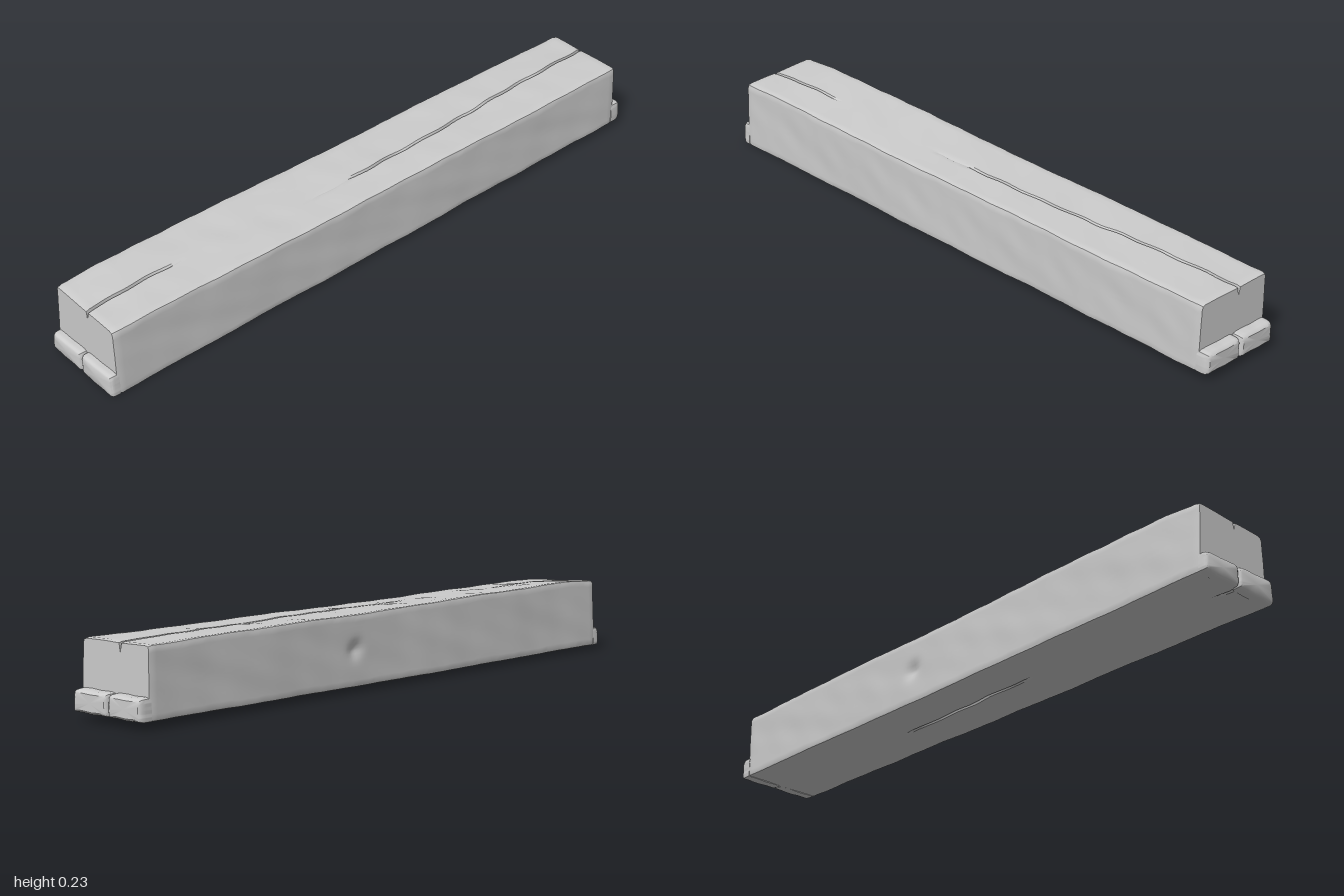
import * as THREE from 'three';
import { toCreasedNormals } from 'three/addons/utils/BufferGeometryUtils.js';

const lerp = THREE.MathUtils.lerp, smooth = THREE.MathUtils.smoothstep;
const V = (z, y) => new THREE.Vector2(z, y);

// Value along x read from a few [x, value] pairs
function along(x, pairs) {
  for (let i = 1; i < pairs.length; i++) {
    const [x0, a] = pairs[i - 1], [x1, b] = pairs[i];
    if (x <= x1) return lerp(a, b, THREE.MathUtils.clamp((x - x0) / (x1 - x0), 0, 1));
  }
  return pairs[pairs.length - 1][1];
}

// Soft, repeatable hewn-wood unevenness
const wave = (x, s) => 0.5 * Math.sin(7 * x + s * 2.1) + 0.3 * Math.sin(17 * x + s * 5.3) + 0.2 * Math.sin(41 * x + s * 3.7);

// Four slightly twisted corners: front bottom, front top, back top, back bottom
function corners(x) {
  const t = (x + 1) / 2, n = s => 0.0022 * wave(x, s);
  return [
    V(lerp(0.125, 0.138, t) + n(1), along(x, [[-1, 0.005], [-0.4, 0.011], [0.2, 0.017], [1, 0.028]])),
    V(lerp(0.12, 0.133, t) + n(2), along(x, [[-1, 0.217], [0, 0.219], [1, 0.227]]) + n(3)),
    V(lerp(-0.134, -0.126, t) + n(4), along(x, [[-1, 0.23], [-0.82, 0.24], [-0.6, 0.237], [0, 0.233], [1, 0.231]]) + n(5)),
    V(lerp(-0.143, -0.126, t) + n(6), along(x, [[-1, 0.02], [0, 0.021], [1, 0.027]])),
  ];
}

// Splits that run along the top and bottom: position, depth
const topCrack = x => ({
  z: along(x, [[-1, 0.005], [-0.7, 0.0], [-0.2, 0.022], [0.3, 0.014], [0.6, -0.004], [1, -0.016]]) + 0.002 * Math.sin(43 * x),
  depth: 0.025 * smooth(-x, 0.6, 0.95) + smooth(x, -0.25, 0.1) * (0.01 + 0.006 * Math.sin(23 * x)) + 0.026 * smooth(x, 0.7, 0.97),
});
const bottomCrack = x => ({
  z: 0.01 * Math.sin(2.5 * x) + 0.002 * Math.sin(37 * x),
  depth: 0.012 * Math.max(0, Math.sin(5 * x + 1.2)),
});

// Rounded cross-section through four corners; cracks[side] opens a V in a side
function section(x, c, radius, cracks = {}) {
  const pts = [], N = 7;
  for (let s = 0; s < 4; s++) {
    const p = c[s], q = c[(s + 1) % 4], next = c[(s + 2) % 4];
    const dir = q.clone().sub(p).normalize(), inward = V(-dir.y, dir.x);
    const r0 = radius(x, s), r1 = radius(x, (s + 1) % 4);
    const a = p.clone().addScaledVector(dir, r0), b = q.clone().addScaledVector(dir, -r1);
    // Turn inward towards the middle of the section
    if (inward.dot(next.clone().sub(q)) < 0) inward.negate();
    const crack = cracks[s] && cracks[s](x);
    const m = crack ? (crack.z - a.x) / (b.x - a.x) : 0.5, w = crack ? 0.005 / a.distanceTo(b) : 0.04;
    const steps = [];
    for (let k = 0; k <= N; k++) steps.push([(m - w) * k / N, 0]);
    steps.push([m, crack ? crack.depth : 0]);
    for (let k = 0; k <= N; k++) steps.push([lerp(m + w, 1, k / N), 0]);
    for (const [f, depth] of steps) {
      const pt = a.clone().lerp(b, f);
      let dent = depth + 0.0018 * Math.sin(Math.PI * f) * wave(x * 1.3, s + f * 2);
      // Knot hollow in the back
      if (s === 2) dent += 0.011 * Math.exp(-(((x - 0.17) / 0.025) ** 2) - ((pt.y - 0.13) / 0.022) ** 2);
      pts.push(pt.addScaledVector(inward, dent));
    }
    const e = q.clone().addScaledVector(next.clone().sub(q).normalize(), r1);
    pts.push(b.clone().add(e).addScaledVector(q, 2).multiplyScalar(0.25));
  }
  return pts;
}

// Skin the rings [{x, pts}] from -x to +x and close both ends
function loft(rings, name, material) {
  const pos = [], idx = [], n = rings[0].pts.length;
  for (const { x, pts } of rings) for (const p of pts) pos.push(x, p.y, p.x);
  for (let i = 0; i < rings.length - 1; i++) for (let j = 0; j < n; j++) {
    const k = (j + 1) % n, a = i * n + j, b = a + n, c = (i + 1) * n + k, d = i * n + k;
    idx.push(a, b, c, a, c, d);
  }
  for (const i of [0, rings.length - 1]) {
    const mid = pos.length / 3, { x, pts } = rings[i];
    const m = pts.reduce((t, p) => t.add(p), V(0, 0)).divideScalar(n);
    pos.push(x, m.y, m.x);
    for (let j = 0; j < n; j++) {
      const a = i * n + j, b = i * n + (j + 1) % n;
      if (i === 0) idx.push(mid, a, b); else idx.push(mid, b, a);
    }
  }
  const g = new THREE.BufferGeometry();
  g.setAttribute('position', new THREE.Float32BufferAttribute(pos, 3));
  g.setIndex(idx);
  const mesh = new THREE.Mesh(toCreasedNormals(g, 0.6), material);
  mesh.name = name;
  return mesh;
}

function shrink(pts, amount) {
  const box = new THREE.Box2().setFromPoints(pts), m = box.getCenter(V(0, 0)), s = box.getSize(V(0, 0));
  return pts.map(p => V(m.x + (p.x - m.x) * (1 - 2 * amount / s.x), m.y + (p.y - m.y) * (1 - 2 * amount / s.y)));
}

export function createModel() {
  const group = new THREE.Group();
  group.name = 'timberBeam';
  const wood = new THREE.MeshStandardMaterial({ color: 0xcccccc });

  // Worn, chipped long edges, most ragged along the front top
  const wornEdge = (x, s) => [0.006, 0.009, 0.008, 0.009][s] + (s === 1 ? 0.005 : 0.003) * wave(x * 2.3, s + 4);
  const x0 = -0.975, x1 = 0.965, count = 150, rings = [];
  for (let i = 0; i <= count; i++) {
    const x = lerp(x0, x1, i / count);
    const pts = section(x, corners(x), wornEdge, { 1: topCrack, 3: bottomCrack });
    const end = i === 0 || i === count;
    rings.push({ x, pts: end ? shrink(pts, 0.003) : pts });
  }
  group.add(loft(rings, 'beam', wood));

  // Stepped tongue at each end, split into a front and a back lobe
  for (const side of [-1, 1]) {
    const inner = side < 0 ? x0 : x1, ledge = side < 0 ? 0.076 : 0.092;
    for (const [name, f0, f1] of [['frontTongue', 0, 0.505], ['backTongue', 0.515, 1]]) {
      const lobe = [[-0.006, 0], [0.4, 0], [0.7, 0.001], [0.9, 0.004], [1, 0.009]].map(([t, inset], k) => {
        const x = k === 0 ? inner - side * 0.006 : lerp(inner, side, t);
        const [a, b, c, d] = corners(x);
        const front = a.clone().lerp(b, (ledge - a.y) / (b.y - a.y));
        const back = d.clone().lerp(c, (ledge - d.y) / (c.y - d.y));
        const quad = [a.clone().lerp(d, f0), front.clone().lerp(back, f0), front.clone().lerp(back, f1), a.clone().lerp(d, f1)];
        const round = (_, s) => (s === 1 || s === 2 ? 0.012 : 0.006);
        return { x, pts: shrink(section(x, quad, round), inset) };
      });
      if (side < 0) lobe.reverse();
      group.add(loft(lobe, name + (side < 0 ? 'Right' : 'Left'), wood));
    }
  }
  return group;
}
